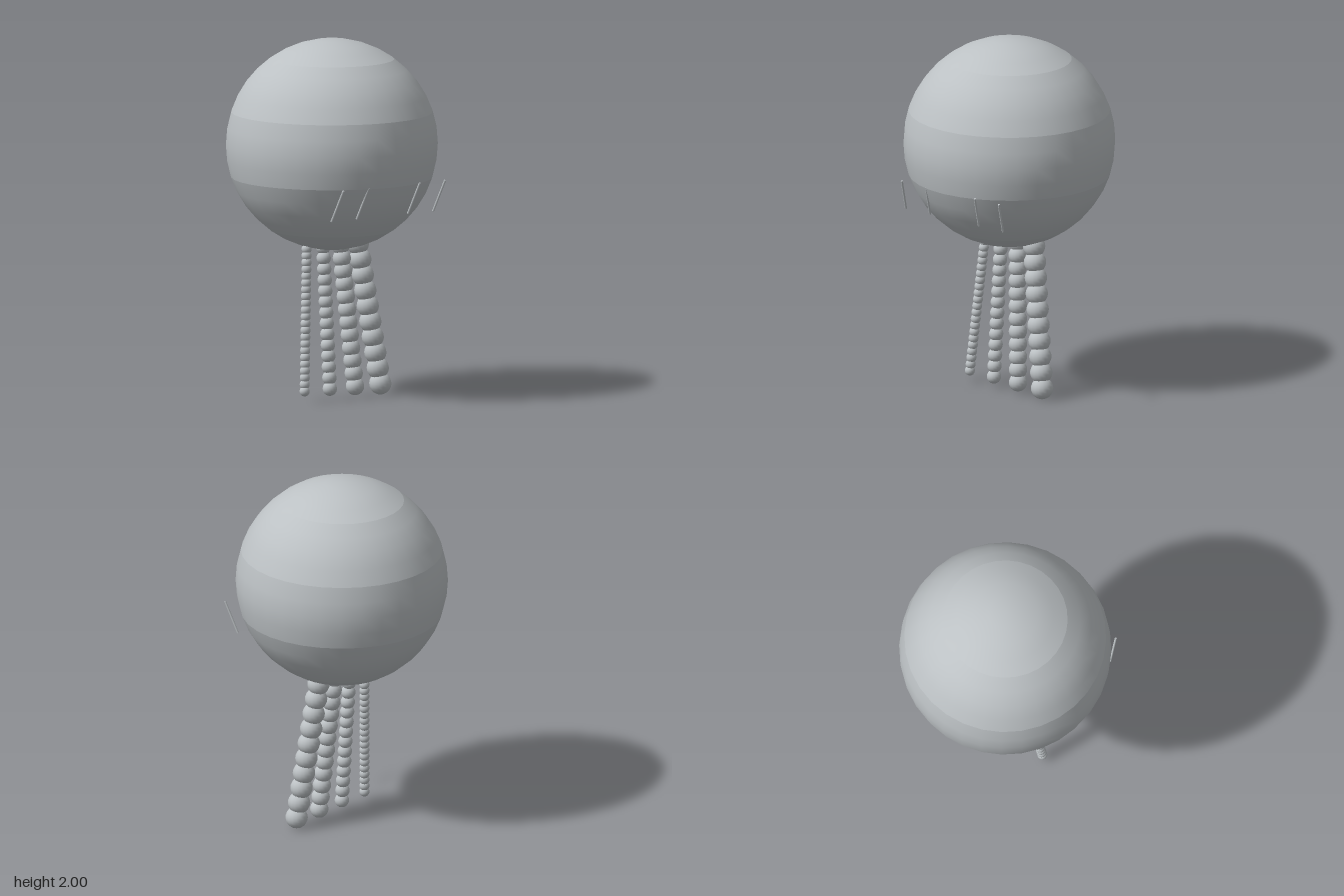
import * as THREE from 'three';
import { mergeVertices } from 'three/addons/utils/BufferGeometryUtils.js';

const UP = new THREE.Vector3(0, 1, 0);

// One latitude band of the balloon, smooth within itself with a soft seam at its edges
function bandGeometry(radius, index, count) {
  const step = Math.PI / count;
  let geo = new THREE.SphereGeometry(radius, 32, 4, 0, Math.PI * 2, index * step, step);
  geo.deleteAttribute('uv');
  geo.deleteAttribute('normal');
  geo = mergeVertices(geo, 1e-5);
  geo.computeVertexNormals();
  return geo;
}

// A thin straight rod between two points
function rod(from, to, radius, material) {
  const dir = to.clone().sub(from);
  const mesh = new THREE.Mesh(new THREE.CylinderGeometry(radius, radius, dir.length(), 8), material);
  mesh.position.copy(from).add(to).multiplyScalar(0.5);
  mesh.quaternion.setFromUnitVectors(UP, dir.normalize());
  return mesh;
}

export function createModel() {
  const model = new THREE.Group();
  model.name = 'beadedBalloon';
  const grey = new THREE.MeshStandardMaterial({ color: 0xbcc1c4 });
  grey.name = 'paleGrey';

  // Balloon: five bands from pole to pole
  const balloon = new THREE.Group();
  balloon.name = 'balloon';
  balloon.position.y = 1.415;
  const bands = 5;
  for (let i = 0; i < bands; i++) {
    const band = new THREE.Mesh(bandGeometry(0.585, i, bands), grey);
    band.name = `balloonBand${i + 1}`;
    balloon.add(band);
  }
  model.add(balloon);

  // Hanging strands of beads, thin on the right to thick on the left
  const strands = [
    { top: -0.175, bottom: -0.235, radius: 0.028, count: 22 },
    { top: -0.06, bottom: -0.06, radius: 0.04, count: 14 },
    { top: 0.06, bottom: 0.115, radius: 0.051, count: 12 },
    { top: 0.18, bottom: 0.29, radius: 0.062, count: 10 },
  ];
  strands.forEach(({ top, bottom, radius, count }, s) => {
    const strand = new THREE.Group();
    strand.name = `beadStrand${s + 1}`;
    const start = new THREE.Vector3(top, 0.845, 0);
    const end = new THREE.Vector3(bottom, 0.065, 0.06);
    const beadGeo = new THREE.SphereGeometry(radius, 16, 12);
    for (let i = 0; i < count; i++) {
      const bead = new THREE.Mesh(beadGeo, grey);
      bead.name = 'bead';
      bead.position.lerpVectors(start, end, i / (count - 1));
      strand.add(bead);
    }
    model.add(strand);
  });

  // Slanted rods along the lower front of the balloon
  const rods = new THREE.Group();
  rods.name = 'frontRods';
  for (const x of [-0.34, -0.165, 0.19, 0.365]) {
    const mesh = rod(
      new THREE.Vector3(x - 0.015, 1.063, 0.46),
      new THREE.Vector3(x + 0.015, 1.24, 0.53),
      0.006, grey);
    mesh.name = 'frontRod';
    rods.add(mesh);
  }
  model.add(rods);

  return model;
}
